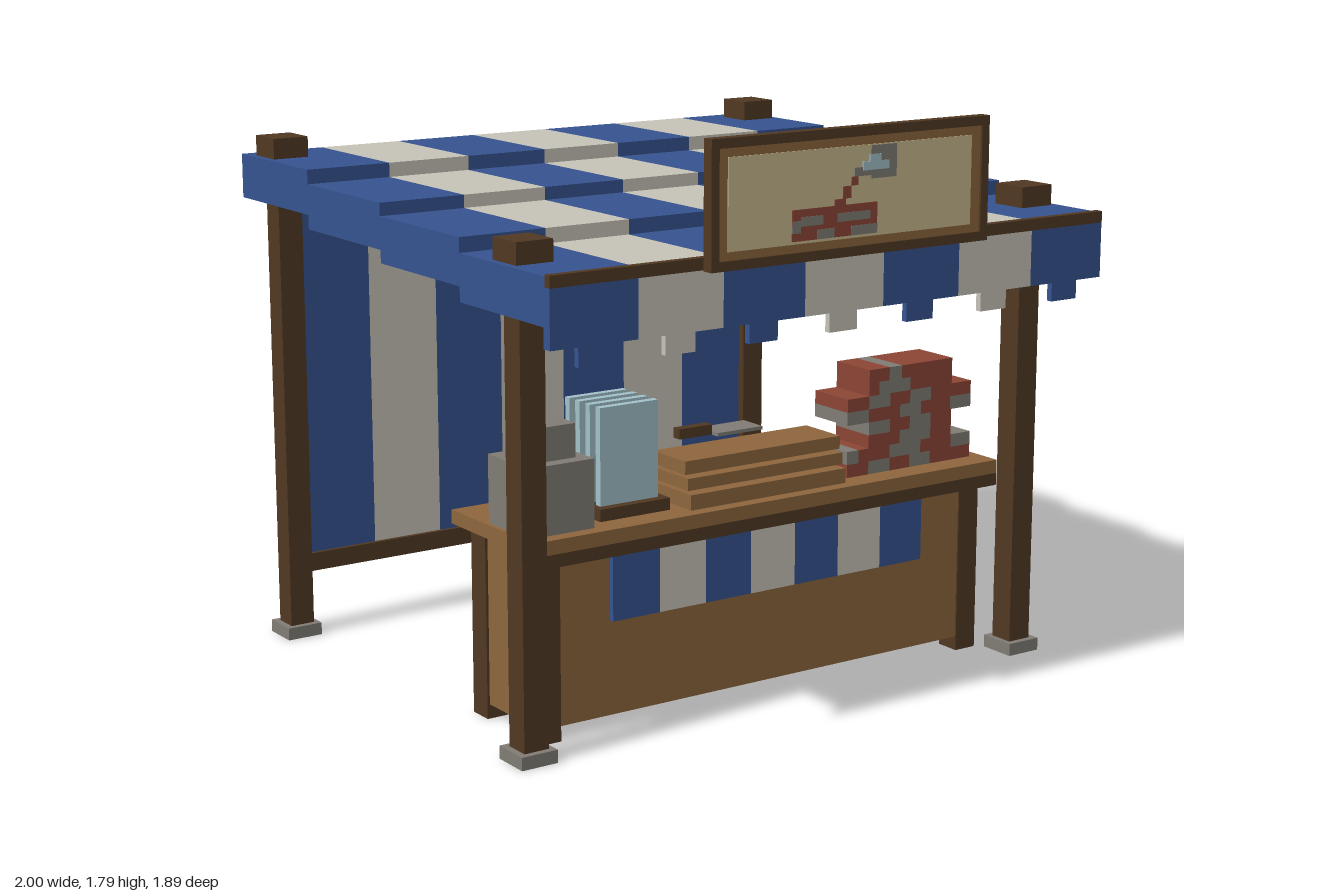
import * as THREE from 'three';

const mat = (name, color) => {
  const m = new THREE.MeshStandardMaterial({ color });
  m.name = name;
  return m;
};

export function createModel() {
  const blue = mat('blue canvas', 0x36538f);
  const cream = mat('cream canvas', 0xc6c3b8);
  const dark = mat('dark wood', 0x503822);
  const wood = mat('light wood', 0x8d663e);
  const stone = mat('grey stone', 0x807c75);
  const brick = mat('red brick', 0x8c4535);
  const glass = mat('pale glass', 0xa2c1ca);
  const paper = mat('sign panel', 0xc8b88f);

  const model = new THREE.Group();
  model.name = 'marketStall';
  const group = (name) => {
    const g = new THREE.Group();
    g.name = name;
    model.add(g);
    return g;
  };
  // Box given by its bounds on each axis
  const box = (parent, name, m, [x0, x1], [y0, y1], [z0, z1]) => {
    const mesh = new THREE.Mesh(new THREE.BoxGeometry(x1 - x0, y1 - y0, z1 - z0), m);
    mesh.position.set((x0 + x1) / 2, (y0 + y1) / 2, (z0 + z1) / 2);
    mesh.name = name;
    parent.add(mesh);
  };
  // Same box on both sides of x = 0
  const pair = (parent, name, m, [x0, x1], y, z) => {
    box(parent, name + 'Left', m, [x0, x1], y, z);
    box(parent, name + 'Right', m, [-x1, -x0], y, z);
  };
  // Seven alternating cloth stripes across a width
  const stripes = (parent, name, half, y, z) => {
    const w = (2 * half) / 7;
    for (let i = 0; i < 7; i++) {
      const x = -half + i * w;
      box(parent, name + 'Stripe', i % 2 ? cream : blue, [x, x + w], y, z);
    }
  };

  // Stepped awning with side skirts
  const awning = group('awning');
  const edges = [0.905, 0.43, -0.03, -0.49, -0.945];
  const tops = [1.455, 1.5, 1.54, 1.585];
  tops.forEach((top, i) => {
    const z = [edges[i + 1], i ? edges[i] : 0.88];
    stripes(awning, 'roof', 1, [top - 0.05, top], z);
    pair(awning, 'sideSkirt', blue, [0.98, 1], [top - 0.14, top - 0.05], z);
  });

  // Front valance with a small tab under every stripe
  stripes(awning, 'valance', 1, [1.255, 1.425], [0.873, 0.905]);
  for (let i = 0; i < 7; i++) {
    const x = -1 + (i + 0.5) * 2 / 7;
    box(awning, 'valanceTab', i % 2 ? cream : blue, [x - 0.05, x + 0.05], [1.197, 1.256], [0.88, 0.9]);
  }
  box(awning, 'frontTrim', dark, [-1, 1], [1.425, 1.46], [0.88, 0.906]);

  // Posts with stone feet and caps
  const frame = group('frame');
  for (const [name, z, top] of [['front', 0.638, 1.455], ['back', -0.822, 1.585]]) {
    pair(frame, name + 'Post', dark, [0.875, 0.957], [0.03, top - 0.02], [z - 0.041, z + 0.041]);
    pair(frame, name + 'Foot', stone, [0.858, 0.978], [0, 0.04], [z - 0.062, z + 0.062]);
    pair(frame, name + 'Cap', dark, [0.858, 0.978], [top - 0.01, top + 0.065], [z - 0.062, z + 0.062]);
  }
  box(frame, 'frontBeam', dark, [-0.875, 0.875], [1.3, 1.355], [0.61, 0.665]);

  // Back curtain and its rails
  stripes(frame, 'backCurtain', 0.875, [0.26, 1.46], [-0.83, -0.81]);
  box(frame, 'curtainTopRail', dark, [-0.875, 0.875], [1.45, 1.51], [-0.85, -0.795]);
  box(frame, 'curtainBottomRail', dark, [-0.875, 0.875], [0.21, 0.27], [-0.85, -0.795]);

  // Counter
  const counter = group('counter');
  box(counter, 'counterTop', wood, [-0.872, 0.872], [0.585, 0.628], [0.138, 0.598]);
  box(counter, 'counterFrontTrim', dark, [-0.872, 0.872], [0.545, 0.585], [0.575, 0.597]);
  pair(counter, 'frontLeg', dark, [0.755, 0.833], [0, 0.585], [0.473, 0.555]);
  pair(counter, 'backLeg', dark, [0.755, 0.833], [0, 0.585], [0.185, 0.266]);
  pair(counter, 'sidePanel', wood, [0.8, 0.825], [0.045, 0.585], [0.266, 0.473]);
  box(counter, 'frontPanel', wood, [-0.755, 0.755], [0.045, 0.585], [0.525, 0.55]);
  box(counter, 'lowerShelf', wood, [-0.8, 0.8], [0.045, 0.08], [0.21, 0.525]);
  stripes(counter, 'counterCloth', 0.583, [0.34, 0.575], [0.556, 0.573]);

  // Stone blocks
  const goods = group('goods');
  box(goods, 'largeStone', stone, [-0.857, -0.633], [0.628, 0.836], [0.33, 0.553]);
  box(goods, 'smallStone', stone, [-0.815, -0.67], [0.836, 0.938], [0.37, 0.51]);

  // Glass panes standing in a tray
  box(goods, 'glassTray', dark, [-0.585, -0.337], [0.628, 0.665], [0.265, 0.51]);
  for (let i = 0; i < 4; i++) {
    const z = 0.303 + i * 0.055;
    box(goods, 'glassPane', glass, [-0.565, -0.36], [0.665, 0.962], [z - 0.012, z + 0.012]);
  }

  // Stacked planks
  [[0.628, 0.675], [0.685, 0.722], [0.731, 0.772]].forEach((y, i) => {
    box(goods, 'plank', wood, [-0.293, 0.29], y, [0.375 - i * 0.01, 0.555 - i * 0.015]);
  });

  // Trowel
  box(goods, 'trowelBlade', stone, [-0.045, 0.125], [0.779, 0.79], [0.247, 0.345]);
  box(goods, 'trowelHandle', dark, [-0.167, -0.045], [0.78, 0.812], [0.28, 0.314]);

  // Brick pile: half courses from the bottom up; cut points alternate red (R) and mortar grey (G)
  const courses = [
    ['RGRGR', 0.33, 0.415, 0.5, 0.58, 0.665, 0.83],
    ['GRGRG', 0.33, 0.375, 0.5, 0.625, 0.75, 0.83],
    ['RGR', 0.415, 0.54, 0.665, 0.75],
    ['GRGR', 0.415, 0.5, 0.58, 0.665, 0.75],
    ['GRGRG', 0.33, 0.415, 0.54, 0.625, 0.745, 0.83],
    ['RGRGR', 0.33, 0.415, 0.5, 0.58, 0.665, 0.83],
    ['RGR', 0.415, 0.455, 0.58, 0.75],
    ['RGR', 0.415, 0.495, 0.545, 0.75],
  ];
  courses.forEach(([code, ...cuts], row) => {
    const y = 0.628 + row * 0.0417;
    [...code].forEach((c, i) => {
      box(goods, c === 'R' ? 'brick' : 'mortar', c === 'R' ? brick : stone,
        [cuts[i], cuts[i + 1]], [y, y + 0.0417], [0.347, 0.512]);
    });
  });

  // Sign board with nested frames
  const sign = group('sign');
  box(sign, 'signBoard', dark, [-0.5, 0.5], [1.422, 1.792], [0.908, 0.933]);
  pair(sign, 'signEdge', dark, [0.473, 0.5], [1.422, 1.792], [0.933, 0.945]);
  box(sign, 'signEdgeTop', dark, [-0.473, 0.473], [1.764, 1.792], [0.933, 0.945]);
  box(sign, 'signEdgeBottom', dark, [-0.473, 0.473], [1.422, 1.45], [0.933, 0.945]);
  box(sign, 'signInnerFrame', wood, [-0.473, 0.473], [1.45, 1.764], [0.933, 0.937]);
  box(sign, 'signPanel', paper, [-0.44, 0.437], [1.474, 1.738], [0.936, 0.94]);
  pair(sign, 'signBracket', stone, [0.333, 0.373], [1.45, 1.585], [0.8, 0.908]);

  // Painted bricks and trowel on the sign
  const paint = [
    ['paintedBricks', brick, -0.22, 0.085, 1.482, 1.572],
    ['paintedMortar', stone, -0.22, -0.19, 1.505, 1.54],
    ['paintedMortar', stone, -0.19, -0.11, 1.523, 1.55],
    ['paintedMortar', stone, -0.13, -0.07, 1.482, 1.51],
    ['paintedMortar', stone, -0.06, 0.06, 1.525, 1.55],
    ['paintedMortar', stone, -0.01, 0.085, 1.482, 1.51],
    ['paintedHandle', brick, -0.07, -0.03, 1.572, 1.59],
    ['paintedHandle', brick, -0.04, -0.01, 1.59, 1.625],
    ['paintedHandle', brick, -0.01, 0.015, 1.625, 1.65],
    ['paintedTrowel', stone, 0.06, 0.153, 1.64, 1.735],
    ['paintedTrowel', stone, 0.0, 0.06, 1.65, 1.675],
  ];
  for (const [name, m, x0, x1, y0, y1] of paint) {
    box(sign, name, m, [x0, x1], [y0, y1], [0.939, m === stone ? 0.943 : 0.942]);
  }
  box(sign, 'paintedBlade', glass, [0.03, 0.125], [1.665, 1.69], [0.94, 0.944]);
  box(sign, 'paintedBladeTop', glass, [0.055, 0.095], [1.69, 1.71], [0.94, 0.944]);

  return model;
}
